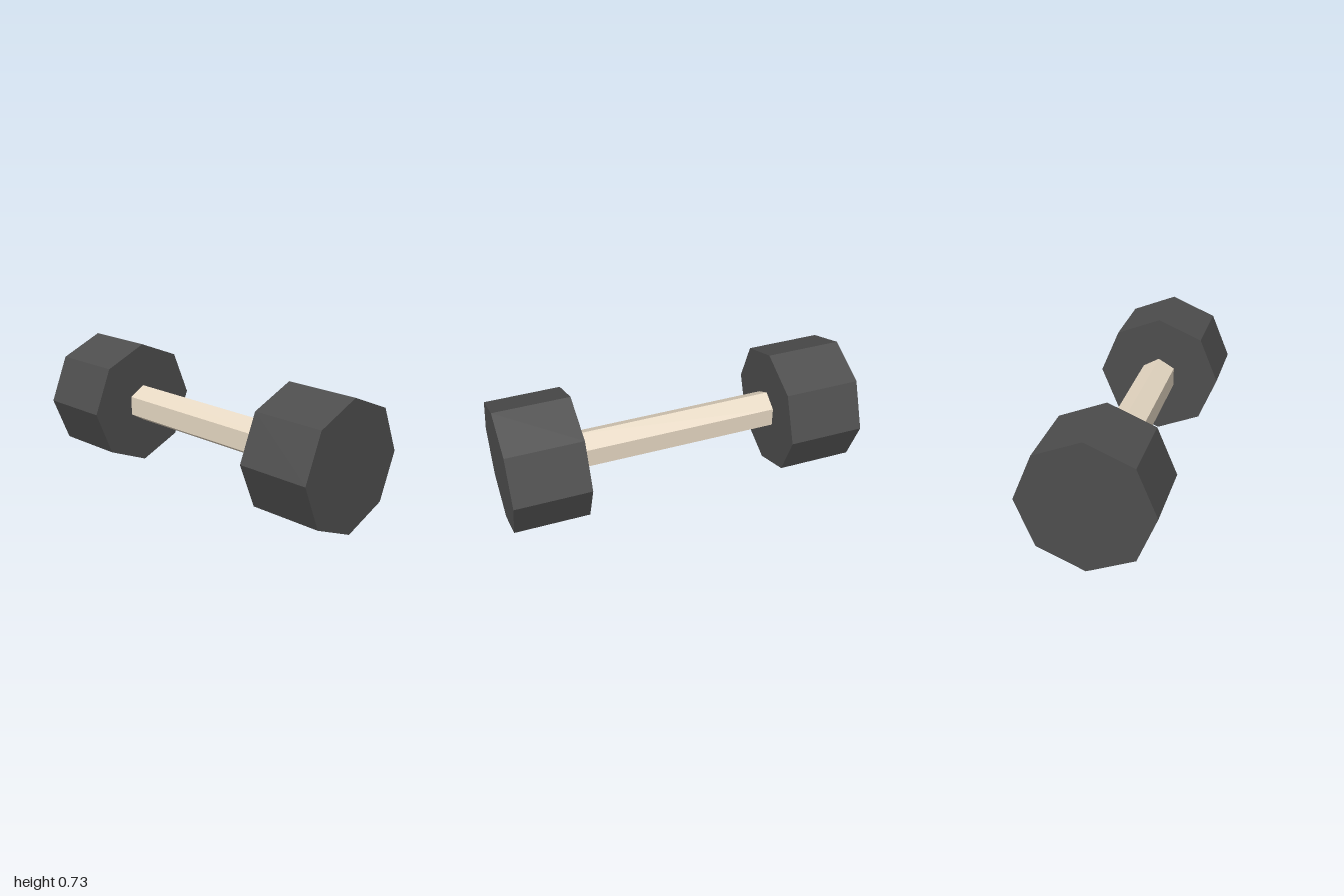
import * as THREE from 'three';

const RADIUS = 0.364;      // octagonal weight, corner radius
const INNER = 0.576;       // inner face of each weight
const OUTER = 1;           // outer face of each weight

// Prism lying along x with one corner pointing straight up
function prism(name, radius, length, sides, material) {
  const geometry = new THREE.CylinderGeometry(radius, radius, length, sides, 1, false, Math.PI / 2);
  geometry.rotateZ(Math.PI / 2);
  const mesh = new THREE.Mesh(geometry.toNonIndexed(), material);
  mesh.geometry.computeVertexNormals(); // flat facets
  mesh.name = name;
  mesh.position.y = RADIUS;
  return mesh;
}

export function createModel() {
  const darkIron = new THREE.MeshStandardMaterial({ color: 0x4d4d4d });
  darkIron.name = 'dark iron';
  const paleGrip = new THREE.MeshStandardMaterial({ color: 0xe6d8c3 });
  paleGrip.name = 'pale grip';

  const dumbbell = new THREE.Group();
  dumbbell.name = 'dumbbell';

  // Hexagonal handle, ends set just inside the weights
  dumbbell.add(prism('handle', 0.11, 2 * INNER + 0.02, 6, paleGrip));

  // Octagonal weights
  for (const side of [1, -1]) {
    const weight = prism(side > 0 ? 'leftWeight' : 'rightWeight', RADIUS, OUTER - INNER, 8, darkIron);
    weight.position.x = side * (INNER + OUTER) / 2;
    dumbbell.add(weight);
  }
  return dumbbell;
}
